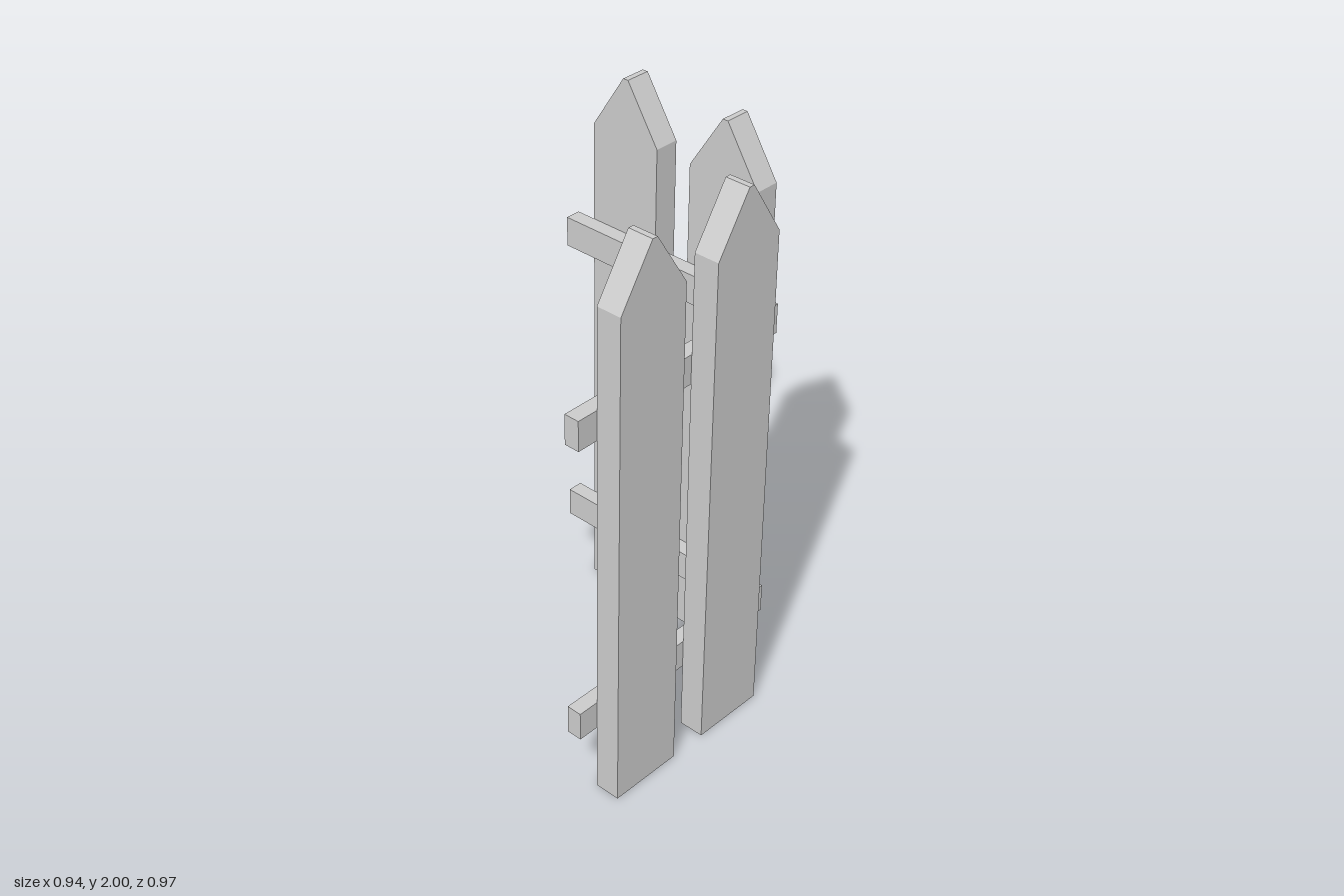
import * as THREE from 'three';

const material = new THREE.MeshStandardMaterial({ color: 0xcccccc, flatShading: true });

// Upright board with a pointed, slightly blunted top, centred in width and thickness
function picketGeometry(width = 0.27, height = 2, shoulder = 1.805, tip = 0.02, depth = 0.09) {
  const w = width / 2, t = tip / 2;
  const shape = new THREE.Shape([
    [-w, 0], [w, 0], [w, shoulder], [t, height], [-t, height], [-w, shoulder],
  ].map(([x, y]) => new THREE.Vector2(x, y)));
  return new THREE.ExtrudeGeometry(shape, { depth, bevelEnabled: false }).translate(0, 0, -depth / 2);
}

// Box given by its extents
function bar(name, x0, x1, y0, y1, z0, z1) {
  const mesh = new THREE.Mesh(new THREE.BoxGeometry(x1 - x0, y1 - y0, z1 - z0), material);
  mesh.position.set((x0 + x1) / 2, (y0 + y1) / 2, (z0 + z1) / 2);
  mesh.name = name;
  return mesh;
}

export function createModel() {
  const fence = new THREE.Group();
  fence.name = 'cornerFence';
  const geometry = picketGeometry();

  // Pickets along the back
  for (const x of [-0.264, 0.142]) {
    const picket = new THREE.Mesh(geometry, material);
    picket.name = 'backPicket';
    picket.position.set(x, 0, -0.441);
    fence.add(picket);
  }

  // Pickets along the left side
  for (const z of [-0.133, 0.273]) {
    const picket = new THREE.Mesh(geometry, material);
    picket.name = 'sidePicket';
    picket.rotation.y = Math.PI / 2;
    picket.position.set(0.423, 0, z);
    fence.add(picket);
  }

  // Two levels of rails, meeting at the corner
  for (const y of [0.25, 1.355]) {
    fence.add(bar('backRail', -0.47, 0.324, y, y + 0.105, -0.396, -0.342));
    fence.add(bar('sideRail', 0.324, 0.378, y, y + 0.105, -0.396, 0.484));
  }
  return fence;
}
